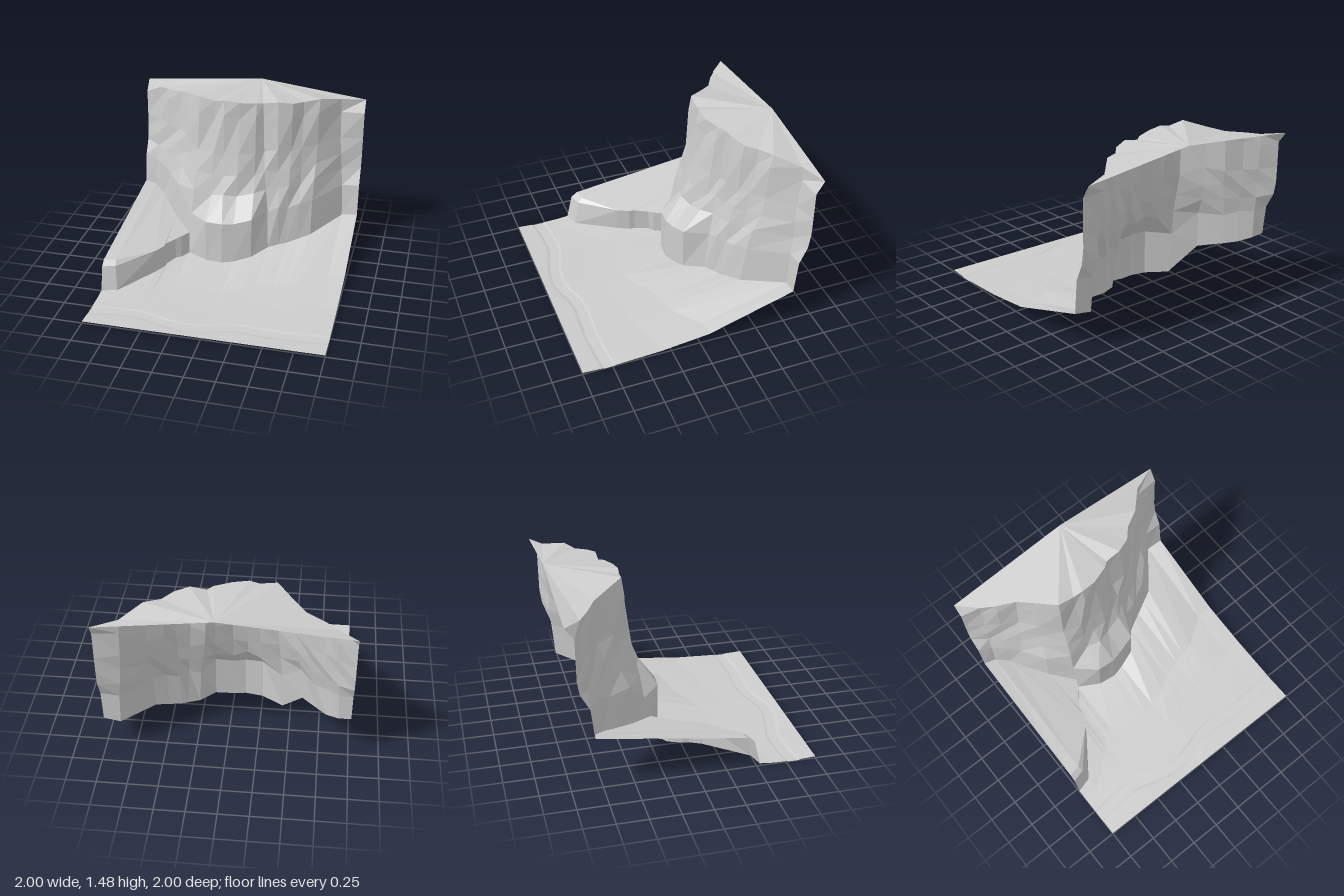
import * as THREE from 'three';

const lerp = THREE.MathUtils.lerp;

// Faceted sheet from rows of points: along a row runs +x, row to row runs down or forward
function sheet(name, rows) {
  const pos = [];
  for (let j = 0; j < rows.length - 1; j++) {
    for (let i = 0; i < rows[j].length - 1; i++) {
      const a = rows[j][i], b = rows[j][i + 1], c = rows[j + 1][i], d = rows[j + 1][i + 1];
      pos.push(...a, ...c, ...b, ...b, ...c, ...d);
    }
  }
  const geo = new THREE.BufferGeometry();
  geo.setAttribute('position', new THREE.Float32BufferAttribute(pos, 3));
  geo.computeVertexNormals();
  const mesh = new THREE.Mesh(geo, new THREE.MeshStandardMaterial({
    color: 0xcccccc, flatShading: true, side: THREE.DoubleSide,
  }));
  mesh.name = name;
  return mesh;
}

// Piecewise linear lookup through [x, value] pairs
function along(table, x) {
  let i = 1;
  while (i < table.length - 1 && table[i][0] < x) i++;
  const [x0, v0] = table[i - 1], [x1, v1] = table[i];
  return lerp(v0, v1, (x - x0) / (x1 - x0));
}

// Cliff rim and foot, left to right
const rim = [
  [-1, 1.38, -1], [-0.85, 1.365, -0.86], [-0.75, 1.38, -0.79], [-0.6, 1.4, -0.71], [-0.5, 1.43, -0.6],
  [-0.37, 1.475, -0.45], [-0.23, 1.45, -0.44], [-0.15, 1.465, -0.43], [-0.02, 1.45, -0.44],
  [0.12, 1.44, -0.49], [0.17, 1.43, -0.53], [0.3, 1.45, -0.53], [0.42, 1.43, -0.58],
  [0.5, 1.42, -0.67], [0.63, 1.43, -0.74], [0.79, 1.38, -0.91], [1, 1.36, -1],
];
const foot = [
  [-1, 0.44, -0.8], [-0.9, 0.42, -0.78], [-0.8, 0.38, -0.7], [-0.73, 0.35, -0.6], [-0.6, 0.3, -0.42],
  [-0.43, 0.04, -0.24], [-0.25, 0.045, -0.135], [-0.1, 0.05, -0.115],
  [0.0, 0.06, -0.14], [0.15, 0.1, -0.19], [0.27, 0.13, -0.34], [0.36, 0.145, -0.39], [0.42, 0.15, -0.42],
  [0.52, 0.18, -0.47], [0.62, 0.21, -0.52], [0.86, 0.28, -0.83], [1, 0.3, -0.82],
];

// Terrace edge: upper lip, shoulder and foot of its low wall
const bank = [[-0.63, 0.15], [-0.58, 0.05], [-0.575, 0], [-0.525, -0.12], [-0.48, -0.15], [-0.43, -0.24]];
const bankAt = (y) => bank.map(([x, z]) => [x, y, z]);
const lip = [[-1, 0.27, 0.42], [-0.9, 0.265, 0.4], ...bankAt(0.245)];
const shoulder = [[-1, 0.23, 0.475], [-0.89, 0.23, 0.445], ...bankAt(0.235)];
const wallFoot = [[-1, 0.02, 0.525], [-0.87, 0.02, 0.49], ...bankAt(0.04)];

function buildCliff() {
  // Height fraction, then the step out from rim to foot on the ledge, the slopes and the two ends
  const profile = [
    [1, 0, 0, 0], [0.9, 0.05, 0.08, 0.36], [0.67, 0.19, 0.22, 0.37], [0.53, 0.31, 0.38, 0.38],
    [0.41, 0.46, 0.56, 0.48], [0.27, 0.98, 0.82, 0.85], [0, 1, 1, 1],
  ];
  return sheet('cliffFace', profile.map(([t, ledge, slope, end], r) => rim.map((top, i) => {
    const low = foot[i], x = low[0];
    const out = Math.abs(x) === 1 ? end : x > -0.3 && x < 0.2 ? ledge : slope;
    const inner = r > 0 && r < profile.length - 1 && Math.abs(x) < 1;
    const rough = inner ? 0.012 * Math.sin(i * 2.7 + r * 1.9) : 0;
    return [
      lerp(top[0], x, out),
      lerp(low[1], top[1], t) + rough,
      lerp(top[2], low[2], out) + rough,
    ];
  })));
}

function buildBeach() {
  const back = [...wallFoot, ...foot.slice(6)];
  const wave = [[-1, 0.75], [-0.72, 0.7], [-0.52, 0.73], [-0.33, 0.8], [-0.1, 0.81], [0.05, 0.78],
    [0.2, 0.72], [0.42, 0.735], [0.7, 0.75], [1, 0.72]];
  // Sand easing down from the cliff to the shoreline
  const rows = [[1, 1], [0.52, 0.22], [0.25, 0.06], [0, 0]].map(([s, rise]) => back.map(([x, y, z]) => [
    x, lerp(0.006, y, rise), lerp(along(wave, x), z, s),
  ]));
  // Ripples following the wave, then the straight front edge
  for (const [dz, y] of [[0.02, 0.001], [0.1, 0], [0.125, 0.007]]) {
    rows.push(back.map(([x]) => [x, y, along(wave, x) + dz]));
  }
  rows.push(back.map(([x]) => [x, 0.015, 1]));
  return sheet('beach', rows);
}

export function createModel() {
  const corner = lip[lip.length - 1];
  const model = new THREE.Group();
  model.name = 'coastalCliff';
  model.add(
    buildCliff(),
    // Fan from the middle of the back edge to the rim
    sheet('cliffTop', [rim.map(() => [0.06, 1.475, -1]), rim]),
    buildBeach(),
    sheet('terraceTop', [[...foot.slice(0, 5), corner, corner, corner], lip]),
    sheet('terraceWall', [lip, shoulder, wallFoot]),
  );
  return model;
}
